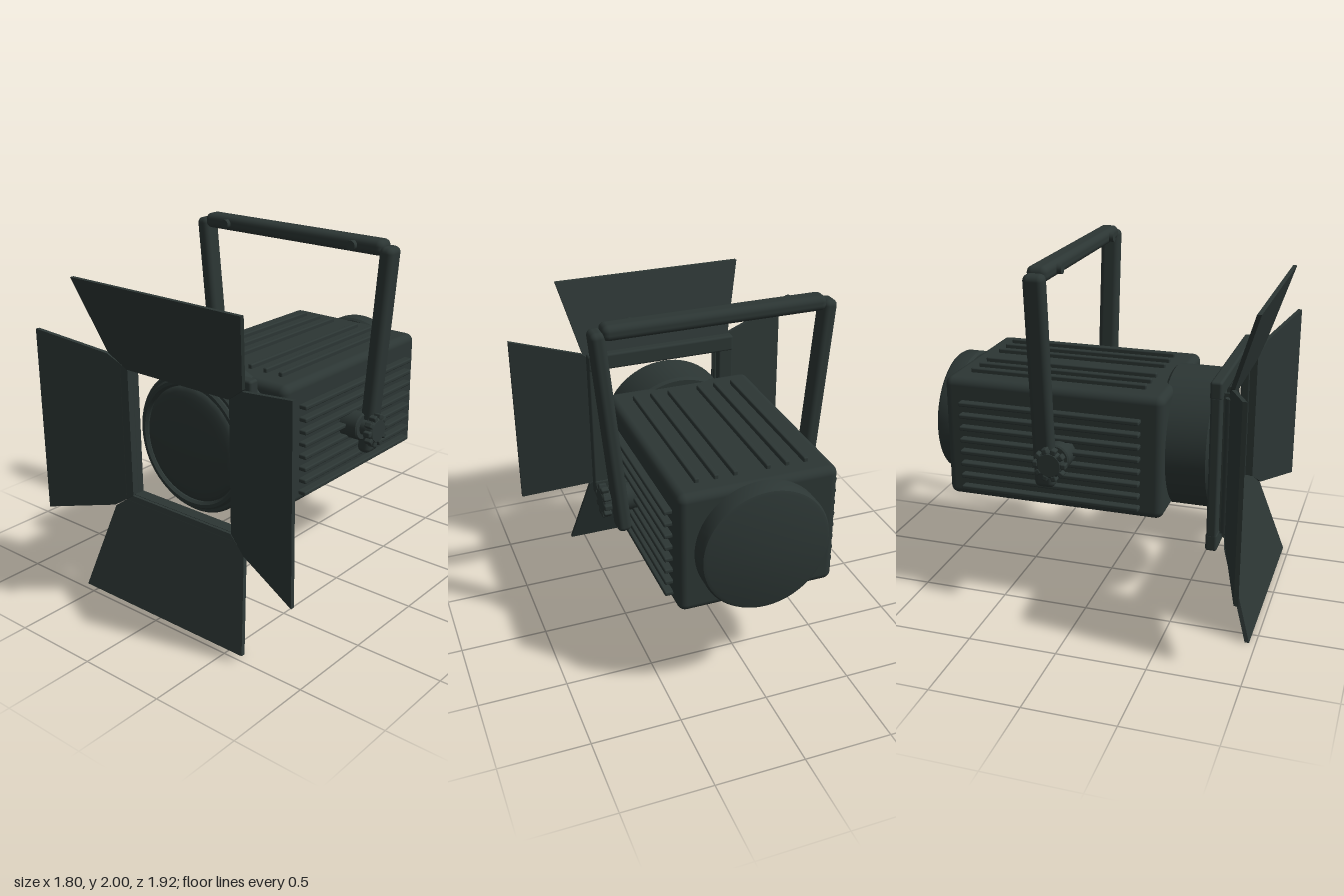
import * as THREE from 'three';
import { toCreasedNormals } from 'three/addons/utils/BufferGeometryUtils.js';
import { RoundedBoxGeometry } from 'three/addons/geometries/RoundedBoxGeometry.js';

const AXIS_Y = 0.943; // height of the optical axis

export function createModel() {
  const model = new THREE.Group();
  model.name = 'stageLight';
  const paint = new THREE.MeshStandardMaterial({ color: 0x2c3634 });
  paint.name = 'dark grey metal';

  const add = (name, geometry, x = 0, y = 0, z = 0, parent = model) => {
    const mesh = new THREE.Mesh(geometry, paint);
    mesh.name = name;
    mesh.position.set(x, y, z);
    parent.add(mesh);
    return mesh;
  };
  const rbox = (w, h, d, r) => new RoundedBoxGeometry(w, h, d, 3, r);
  // Turned part, profile given as [radius, position along the axis]
  const turned = (profile, segments = 64) => toCreasedNormals(
    new THREE.LatheGeometry(profile.map(([r, a]) => new THREE.Vector2(r, a)), segments), 0.6);

  // Housing
  add('housing', rbox(0.89, 0.71, 1.275, 0.045), 0, 0.94, -0.21);

  // Cooling fins on the roof and the sides
  for (const s of [-1, 1]) {
    for (const x of [0.092, 0.198, 0.305]) {
      add('roofFin', rbox(0.027, 0.06, 1.03, 0.008), s * x, 1.29, -0.22);
    }
    for (let i = 0; i < 8; i++) {
      add('sideFin', rbox(0.07, 0.025, 1.05, 0.008), s * 0.455, 0.653 + i * 0.072, -0.222);
    }
  }

  // Round rear cap
  add('rearCap', turned([
    [0, -0.953], [0.335, -0.953], [0.352, -0.947], [0.362, -0.93], [0.362, -0.845], [0.35, -0.83], [0, -0.83],
  ]).rotateX(Math.PI / 2), 0, AXIS_Y, 0);

  // Front barrel, lens ring and domed lens
  add('barrel', turned([
    [0, 0.37], [0.385, 0.37], [0.4, 0.385], [0.4, 0.65], [0.388, 0.665], [0, 0.665],
  ]).rotateX(Math.PI / 2), 0, AXIS_Y, 0);
  add('lensRing', turned([
    [0.372, 0.655], [0.372, 0.675], [0.36, 0.69], [0.342, 0.69], [0.33, 0.675], [0.33, 0.66],
  ]).rotateX(Math.PI / 2), 0, AXIS_Y, 0);
  const dome = [[0.33, 0.66]];
  for (let i = 0; i <= 8; i++) {
    const a = (i / 8) * Math.PI / 2;
    dome.push([0.325 * Math.cos(a), 0.67 + 0.045 * Math.sin(a)]);
  }
  add('lens', turned(dome).rotateX(Math.PI / 2), 0, AXIS_Y, 0);

  // Square accessory frame with a thinner hinge frame in front
  for (const s of [-1, 1]) {
    add('frameRail', rbox(0.945, 0.1, 0.064, 0.014), 0, AXIS_Y + s * 0.433, 0.71);
    add('framePost', rbox(0.095, 0.8, 0.056, 0.012), s * 0.425, AXIS_Y, 0.71);
    add('hingeRail', new THREE.BoxGeometry(0.8, 0.03, 0.03), 0, AXIS_Y + s * 0.39, 0.752);
    add('hingePost', new THREE.BoxGeometry(0.03, 0.78, 0.03), s * 0.385, AXIS_Y, 0.752);
  }

  // Barn doors: d is the distance from the axis, half widths follow
  const door = (name, base, shoulder, tip, turn) => {
    const outline = [base, shoulder, tip];
    const pts = [
      ...outline.map(([d, w]) => new THREE.Vector2(w, d)),
      ...outline.slice().reverse().map(([d, w]) => new THREE.Vector2(-w, d)),
    ];
    const geo = new THREE.ExtrudeGeometry(new THREE.Shape(pts), { depth: 0.024, bevelEnabled: false });
    // Lean the leaf forwards as it goes outwards
    const p = geo.attributes.position;
    for (let i = 0; i < p.count; i++) p.setZ(i, p.getZ(i) + 0.76 + 0.318 * (p.getY(i) - 0.375));
    geo.computeVertexNormals();
    const group = new THREE.Group();
    group.name = name;
    group.position.y = AXIS_Y;
    group.rotation.z = turn;
    model.add(group);
    add('leaf', geo, 0, 0, 0, group);
    add('hingeRod', new THREE.CylinderGeometry(0.023, 0.023, 0.77, 16).rotateZ(Math.PI / 2), 0, 0.415, 0.773, group);
  };
  door('topDoor', [0.377, 0.365], [0.46, 0.478], [0.887, 0.588], 0);
  door('bottomDoor', [0.377, 0.365], [0.46, 0.478], [0.942, 0.588], Math.PI);
  door('leftDoor', [0.365, 0.377], [0.48, 0.455], [0.9, 0.546], -Math.PI / 2);
  door('rightDoor', [0.365, 0.377], [0.48, 0.455], [0.9, 0.546], Math.PI / 2);

  // Hanging yoke
  add('yokeBar', rbox(1.26, 0.086, 0.115, 0.035), 0, 1.957, -0.207);
  for (const s of [-1, 1]) {
    const arm = add('yokeArm', rbox(0.082, 1.21, 0.117, 0.032), s * 0.602, 1.366, -0.205);
    arm.rotation.z = -s * 0.089;
    add('barBolt', new THREE.CylinderGeometry(0.027, 0.027, 0.03, 20).rotateX(Math.PI / 2), s * 0.45, 1.957, -0.14);

    // Tilt pivot and scalloped locking knob
    const pivot = new THREE.Group();
    pivot.name = s > 0 ? 'leftPivot' : 'rightPivot';
    pivot.position.set(0, 0.93, -0.148);
    pivot.rotation.y = s > 0 ? 0 : Math.PI;
    model.add(pivot);
    add('collar', turned([[0, 0.43], [0.08, 0.43], [0.08, 0.553], [0.072, 0.561], [0, 0.561]], 32)
      .rotateZ(-Math.PI / 2), 0, 0, 0, pivot);
    add('shaft', new THREE.CylinderGeometry(0.045, 0.045, 0.08, 24).rotateZ(Math.PI / 2), 0.59, 0, 0, pivot);
    add('knob', turned([[0, 0.612], [0.074, 0.612], [0.074, 0.65], [0.064, 0.66], [0, 0.66]], 32)
      .rotateZ(-Math.PI / 2), 0, 0, 0, pivot);
    for (let i = 0; i < 10; i++) {
      const a = (i / 10) * Math.PI * 2;
      const grip = add('knobGrip', rbox(0.045, 0.032, 0.032, 0.008), 0.638, 0.08 * Math.sin(a), 0.08 * Math.cos(a), pivot);
      grip.rotation.x = -a;
    }
  }

  return model;
}
